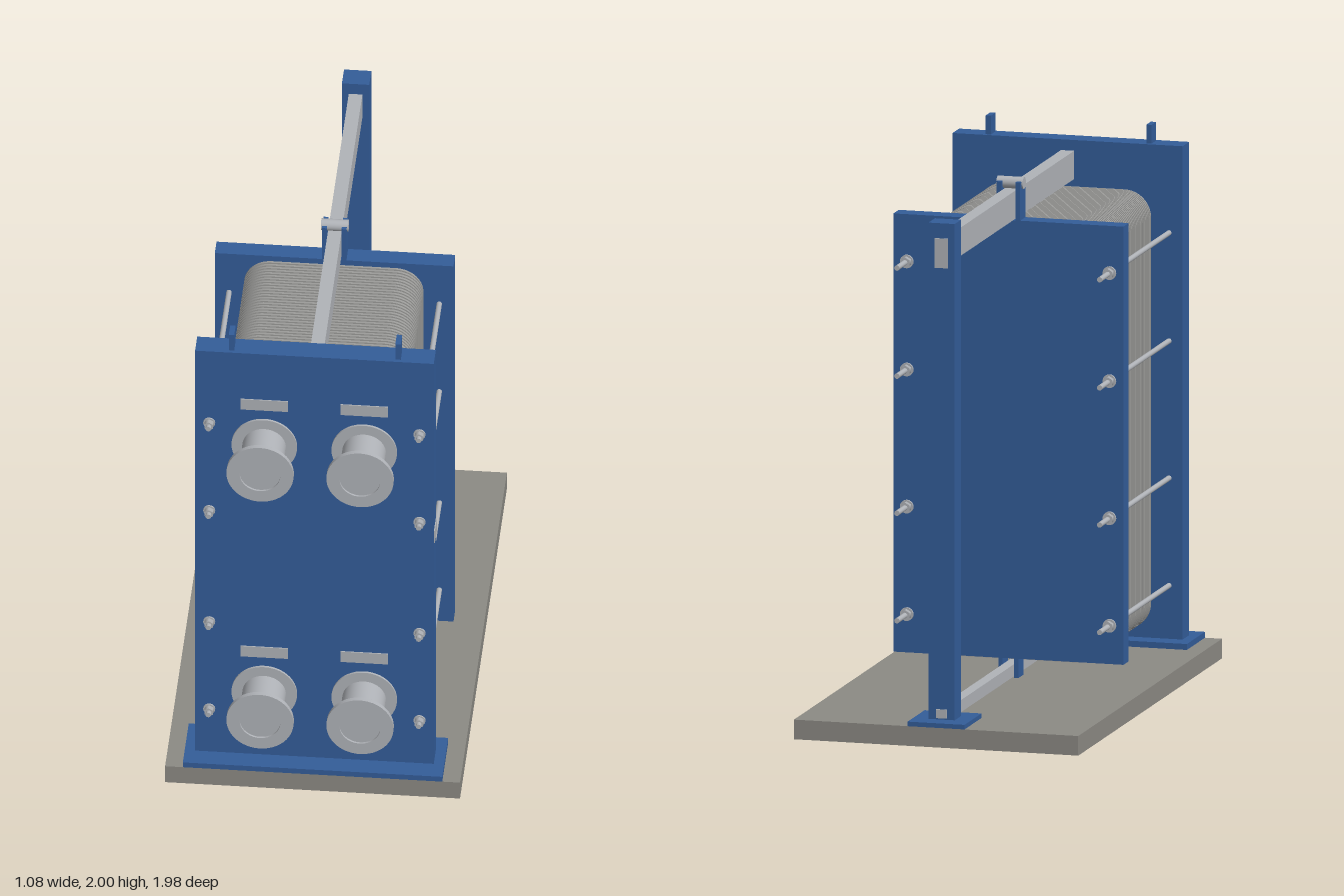
import * as THREE from 'three';
import { toCreasedNormals } from 'three/addons/utils/BufferGeometryUtils.js';

const material = (name, color) => {
  const m = new THREE.MeshStandardMaterial({ color });
  m.name = name;
  return m;
};

export function createModel() {
  const model = new THREE.Group();
  model.name = 'plateHeatExchanger';
  const blue = material('bluePaint', 0x335d99);
  const steel = material('steel', 0xb0b3b8);
  const plateGrey = material('plateGrey', 0x9c9c9a);
  const concrete = material('concrete', 0x8c8a84);

  const add = (name, geometry, mat, parent = model) => {
    const mesh = new THREE.Mesh(geometry, mat);
    mesh.name = name;
    parent.add(mesh);
    return mesh;
  };
  // Box given by its limits on each axis
  const box = (name, mat, x0, x1, y0, y1, z0, z1, parent) =>
    add(name, new THREE.BoxGeometry(x1 - x0, y1 - y0, z1 - z0)
      .translate((x0 + x1) / 2, (y0 + y1) / 2, (z0 + z1) / 2), mat, parent);
  // Cylinder along z between two depths
  const rod = (name, mat, r, z0, z1, sides, parent) =>
    add(name, new THREE.CylinderGeometry(r, r, z1 - z0, sides)
      .rotateX(Math.PI / 2).translate(0, 0, (z0 + z1) / 2), mat, parent);

  // Floor slab and feet
  box('floorSlab', concrete, -0.54, 0.54, 0, 0.073, -0.985, 0.885);
  box('frontFoot', blue, -0.475, 0.475, 0.073, 0.095, 0.65, 0.885);
  box('columnFoot', blue, -0.108, 0.108, 0.073, 0.09, -0.985, -0.765);

  // Fixed frame plate with lifting lugs
  box('framePlate', blue, -0.437, 0.437, 0.095, 1.93, 0.725, 0.81);
  for (const s of [-1, 1]) {
    box('liftingLug', blue, s * 0.305 - 0.01, s * 0.305 + 0.01, 1.93, 2, 0.738, 0.796);
  }
  box('sideTag', steel, 0.437, 0.441, 1.105, 1.16, 0.73, 0.805);

  // Movable pressure plate with its hanger, roller and lower guide
  box('pressurePlate', blue, -0.437, 0.437, 0.15, 1.78, -0.045, 0.024);
  for (const s of [-1, 1]) {
    box('hangerCheek', blue, s * 0.036 - 0.009, s * 0.036 + 0.009, 1.78, 1.922, -0.045, 0.024);
    box('lowerGuide', blue, s * 0.03 - 0.008, s * 0.03 + 0.008, 0.078, 0.15, -0.045, 0.024);
  }
  const roller = add('hangerRoller', new THREE.CylinderGeometry(0.022, 0.022, 0.1, 24), steel);
  roller.rotation.z = Math.PI / 2;
  roller.position.set(0, 1.914, -0.01);

  // Rear column and the two bars
  box('rearColumn', blue, -0.05, 0.05, 0.09, 1.936, -0.914, -0.83);
  box('columnTag', steel, -0.025, 0.025, 1.77, 1.88, -0.918, -0.914);
  box('columnLowerTag', steel, -0.02, 0.02, 0.095, 0.128, -0.918, -0.914);
  box('carryingBar', steel, -0.025, 0.025, 1.785, 1.89, -0.83, 0.725);
  box('guideBar', steel, -0.02, 0.02, 0.083, 0.128, -0.83, 0.725);

  // Pack of thin round-cornered plates
  const w = 0.328, y0 = 0.132, y1 = 1.765, r = 0.1;
  const outline = new THREE.Shape();
  outline.absarc(w - r, y1 - r, r, 0, Math.PI / 2);
  outline.absarc(-w + r, y1 - r, r, Math.PI / 2, Math.PI);
  outline.absarc(-w + r, y0 + r, r, Math.PI, Math.PI * 1.5);
  outline.absarc(w - r, y0 + r, r, Math.PI * 1.5, Math.PI * 2);
  const plateGeometry = new THREE.ExtrudeGeometry(outline,
    { depth: 0.0095, bevelEnabled: false, curveSegments: 10 });
  const pack = new THREE.Group();
  pack.name = 'platePack';
  model.add(pack);
  const count = 40;
  for (let i = 0; i < count; i++) {
    const z = 0.034 + (0.645 * i) / (count - 1);
    add('channelPlate', plateGeometry, plateGrey, pack).position.z = z;
  }

  // Tightening bolts with nuts and washers
  for (const x of [-0.385, 0.385]) {
    for (const y of [0.293, 0.693, 1.203, 1.605]) {
      const bolt = new THREE.Group();
      bolt.name = 'tighteningBolt';
      bolt.position.set(x, y, 0);
      model.add(bolt);
      rod('boltRod', steel, 0.01, -0.178, 0.852, 16, bolt);
      rod('frontWasher', steel, 0.022, 0.81, 0.816, 20, bolt);
      rod('frontNut', steel, 0.018, 0.816, 0.836, 6, bolt);
      rod('rearWasher', steel, 0.025, -0.053, -0.045, 20, bolt);
      rod('rearNut', steel, 0.02, -0.074, -0.053, 6, bolt);
    }
  }

  // Flanged connections with name tags
  const profile = [[0.12, 0], [0.12, 0.009], [0.08, 0.009], [0.08, 0.162], [0.123, 0.162],
    [0.123, 0.18], [0.075, 0.18], [0.075, 0.172], [0, 0.172]]
    .map(([px, py]) => new THREE.Vector2(px, py));
  const nozzleGeometry = toCreasedNormals(
    new THREE.LatheGeometry(profile, 48).rotateX(Math.PI / 2), 0.6);
  for (const x of [-0.183, 0.183]) {
    for (const y of [0.382, 1.515]) {
      const nozzle = new THREE.Group();
      nozzle.name = 'connection';
      nozzle.position.set(x, y, 0.81);
      model.add(nozzle);
      add('flangedPipe', nozzleGeometry, steel, nozzle);
      for (let i = 0; i < 8; i++) {
        const a = ((i + 0.5) * Math.PI) / 4;
        rod('flangeBolt', steel, 0.011, 0.15, 0.163, 6, nozzle)
          .position.set(0.104 * Math.cos(a), 0.104 * Math.sin(a), 0);
      }
      box('nameTag', steel, -0.087, 0.087, 0.16, 0.207, 0, 0.004, nozzle);
    }
  }
  return model;
}
